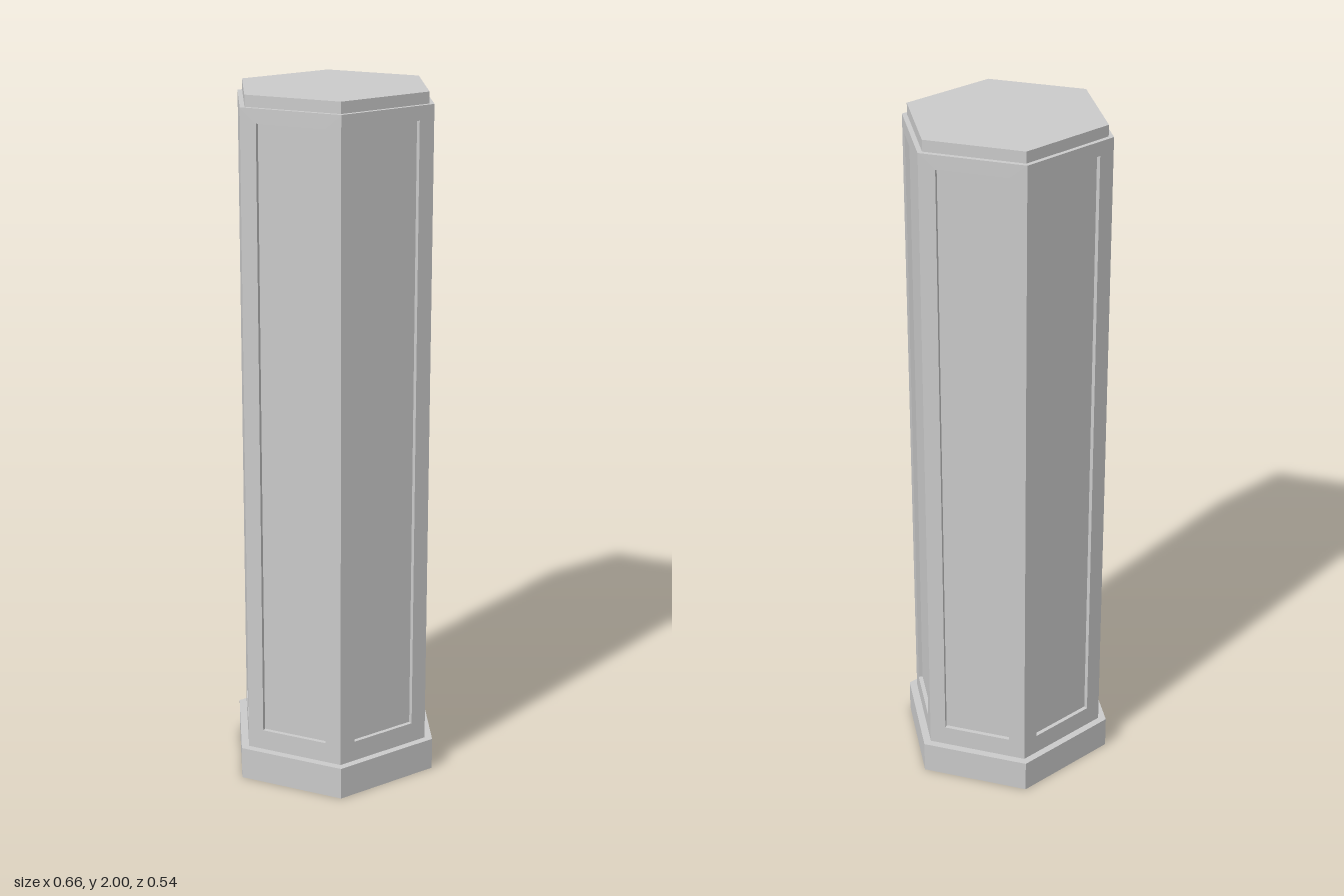
import * as THREE from 'three';

const Z_SCALE = 0.955;      // the hexagon is slightly flattened front to back
const SHAFT_R = 0.303, SHAFT_BOTTOM = 0.095, SHAFT_TOP = 1.968;
const PANEL_BOTTOM = 0.155, PANEL_TOP = 1.928, RECESS = 0.012, MARGIN = 0.16;

const material = new THREE.MeshStandardMaterial({
  color: 0xcccccc, flatShading: true, side: THREE.DoubleSide,
});

function addMesh(parent, name, geometry) {
  const mesh = new THREE.Mesh(geometry, material);
  mesh.name = name;
  parent.add(mesh);
  return mesh;
}

// Six-sided shell swept from a radius/height profile, with corners on +x and -x
function hexShell(profile) {
  const points = profile.map(([r, y]) => new THREE.Vector2(r, y));
  return new THREE.LatheGeometry(points, 6, Math.PI / 6).scale(1, 1, Z_SCALE);
}

function corner(i) {
  const a = Math.PI / 6 + (i * Math.PI) / 3;
  return new THREE.Vector3(SHAFT_R * Math.sin(a), 0, SHAFT_R * Z_SCALE * Math.cos(a));
}

function rectangle(target, w, bottom, top) {
  target.moveTo(-w, bottom).lineTo(w, bottom).lineTo(w, top).lineTo(-w, top).closePath();
  return target;
}

// One shaft wall: a flat frame around a shallow recessed panel, facing local +z
function createWall(width) {
  const wall = new THREE.Group();
  const half = width / 2, pw = width * (0.5 - MARGIN);
  const height = PANEL_TOP - PANEL_BOTTOM, midY = (PANEL_TOP + PANEL_BOTTOM) / 2;

  const shape = rectangle(new THREE.Shape(), half, SHAFT_BOTTOM, SHAFT_TOP);
  shape.holes.push(rectangle(new THREE.Path(), pw, PANEL_BOTTOM, PANEL_TOP));
  addMesh(wall, 'wallFrame', new THREE.ShapeGeometry(shape));

  addMesh(wall, 'recessedPanel', new THREE.PlaneGeometry(pw * 2, height).translate(0, midY, -RECESS));

  // Narrow sides of the recess
  for (const s of [-1, 1]) {
    addMesh(wall, 'recessSide', new THREE.PlaneGeometry(RECESS, height)
      .rotateY((-s * Math.PI) / 2).translate(s * pw, midY, -RECESS / 2));
    addMesh(wall, 'recessEnd', new THREE.PlaneGeometry(pw * 2, RECESS)
      .rotateX((s * Math.PI) / 2).translate(0, midY + (s * height) / 2, -RECESS / 2));
  }
  return wall;
}

export function createModel() {
  const column = new THREE.Group();
  column.name = 'hexagonalColumn';

  // Hollow plinth, open underneath, with a ledge in to the shaft
  addMesh(column, 'plinth', hexShell([[0.328, 0], [0.328, SHAFT_BOTTOM], [SHAFT_R, SHAFT_BOTTOM]]));

  // Six panelled walls
  const shaft = new THREE.Group();
  shaft.name = 'shaft';
  column.add(shaft);
  const up = new THREE.Vector3(0, 1, 0);
  for (let i = 0; i < 6; i++) {
    const a = corner(i), b = corner(i + 1);
    const along = b.clone().sub(a), width = along.length();
    along.normalize();
    const wall = createWall(width);
    wall.name = 'panelledWall';
    const basis = new THREE.Matrix4().makeBasis(along, up, along.clone().cross(up));
    wall.quaternion.setFromRotationMatrix(basis);
    wall.position.copy(a).add(b).multiplyScalar(0.5);
    shaft.add(wall);
  }

  // Ledge, short cap band and flat top
  addMesh(column, 'cap', hexShell([[SHAFT_R, SHAFT_TOP], [0.288, SHAFT_TOP], [0.288, 2], [0, 2]]));

  return column;
}
